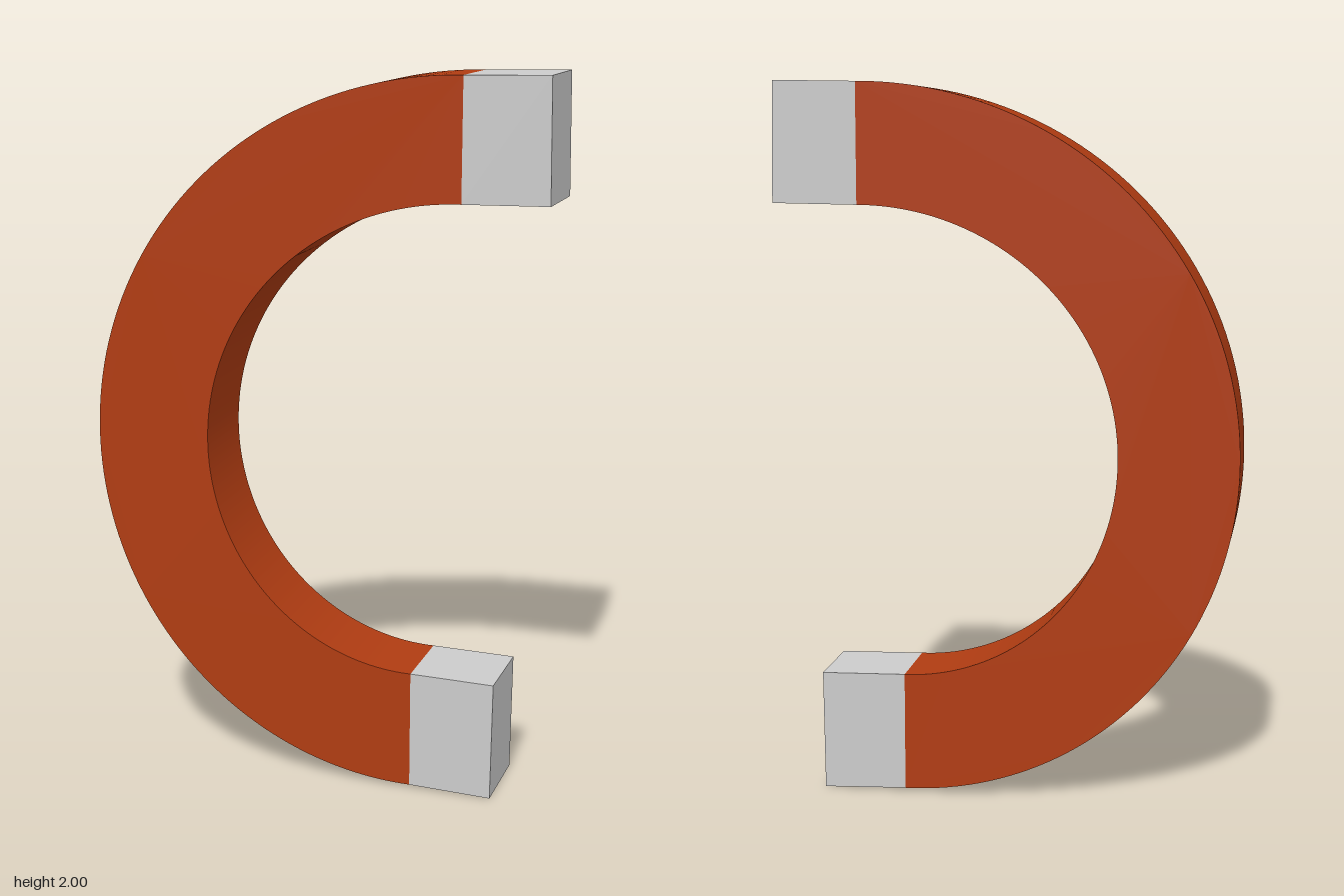
import * as THREE from 'three';
import { toCreasedNormals } from 'three/addons/utils/BufferGeometryUtils.js';

const DEPTH = 0.24;

// Extrude a front outline to the bar's thickness, centred on z
function slab(shape, color, name) {
  const geometry = new THREE.ExtrudeGeometry(shape, { depth: DEPTH, bevelEnabled: false, curveSegments: 24 });
  geometry.translate(0, 0, -DEPTH / 2);
  const mesh = new THREE.Mesh(toCreasedNormals(geometry, 0.5), new THREE.MeshStandardMaterial({ color }));
  mesh.name = name;
  return mesh;
}

export function createModel() {
  const group = new THREE.Group();
  group.name = 'horseshoeMagnet';

  // Slightly skewed C: the upper arm is longer than the lower one
  const midY = 0.97, upperX = 0.41, lowerX = 0.286;
  const outerLeft = -0.648, innerLeft = -0.315;
  const outerTop = 1.996, innerTop = 1.662, outerBottom = 0.008, innerBottom = 0.342;
  const PI = Math.PI;

  const bow = new THREE.Shape();
  bow.moveTo(upperX, outerTop);
  bow.absellipse(upperX, midY, upperX - outerLeft, outerTop - midY, PI / 2, PI, false);
  bow.absellipse(lowerX, midY, lowerX - outerLeft, midY - outerBottom, PI, 1.5 * PI, false);
  bow.absellipse(lowerX, midY, lowerX - innerLeft, midY - innerBottom, 1.5 * PI, PI, true);
  bow.absellipse(upperX, midY, upperX - innerLeft, innerTop - midY, PI, PI / 2, true);
  bow.closePath();
  group.add(slab(bow, 0xb03c12, 'curvedBar'));

  // Grey pole tips, splayed slightly outward
  const tips = {
    upperTip: [[upperX, innerTop], [0.648, 1.666], [0.643, 2], [upperX, outerTop]],
    lowerTip: [[lowerX, outerBottom], [0.52, 0], [0.524, 0.337], [lowerX, innerBottom]],
  };
  for (const [name, corners] of Object.entries(tips)) {
    const shape = new THREE.Shape(corners.map(([x, y]) => new THREE.Vector2(x, y)));
    group.add(slab(shape, 0xcccccc, name));
  }
  return group;
}
